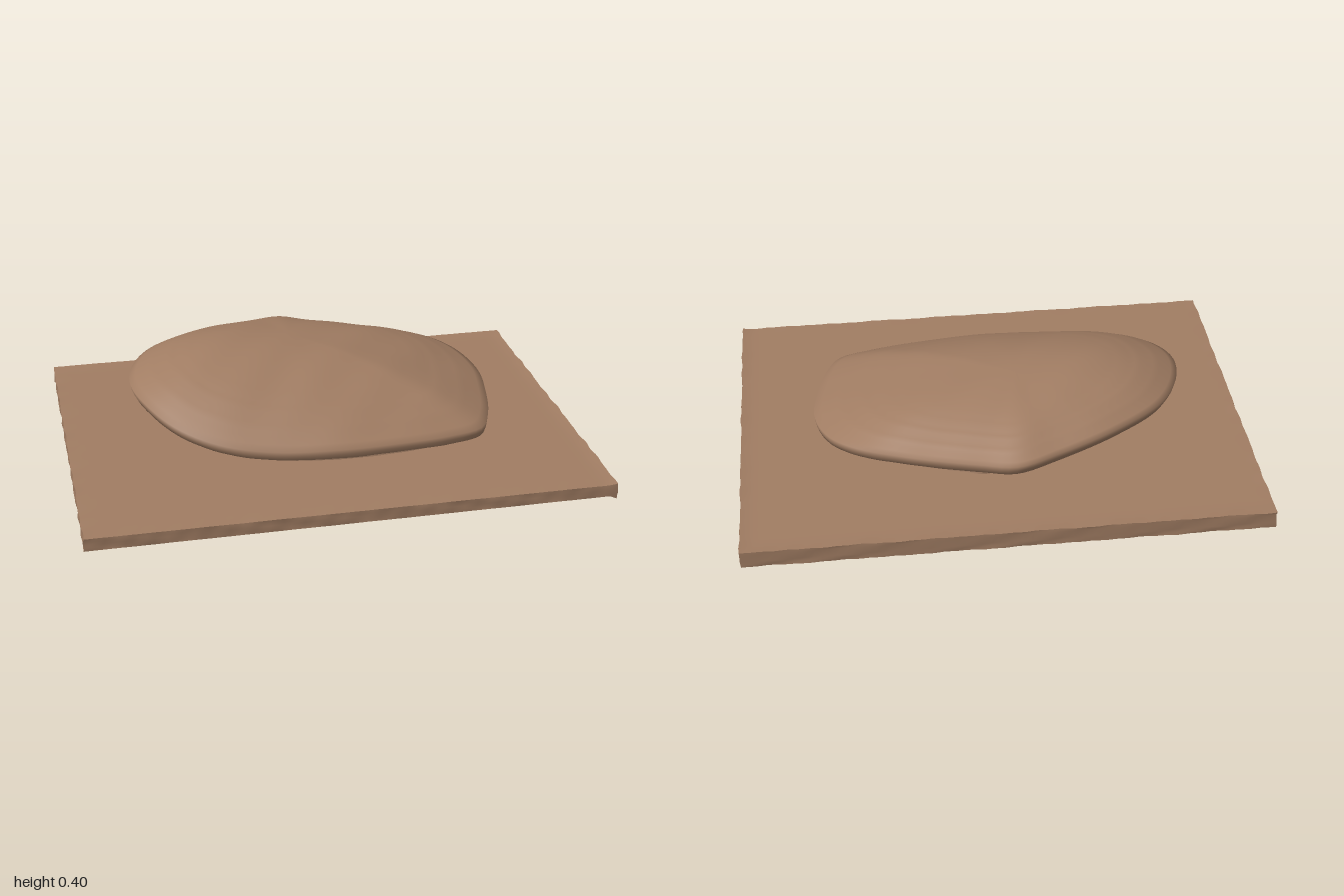
import * as THREE from 'three';

// Shell rim as [x, y, z], running clockwise seen from above
const RIM = [
  [0.70, 0.19, -0.10], [0.68, 0.175, 0.08], [0.64, 0.16, 0.24], [0.585, 0.15, 0.34],
  [0.45, 0.15, 0.385], [0.25, 0.155, 0.415], [0, 0.16, 0.43], [-0.25, 0.165, 0.405],
  [-0.45, 0.19, 0.35], [-0.60, 0.23, 0.25], [-0.70, 0.275, 0.10], [-0.735, 0.295, -0.03],
  [-0.71, 0.305, -0.18], [-0.62, 0.31, -0.33], [-0.42, 0.305, -0.47], [-0.20, 0.285, -0.56],
  [-0.04, 0.275, -0.61], [0.10, 0.265, -0.57], [0.35, 0.25, -0.48], [0.55, 0.235, -0.38],
  [0.65, 0.215, -0.27],
];
const SEGMENTS = 128;
const CENTRE = new THREE.Vector2(-0.08, -0.17);
const { lerp, smoothstep } = THREE.MathUtils;

// Soft, repeatable surface unevenness, about -1 to 1
const wobble = (x, z) =>
  (Math.sin(x * 9.1 + z * 5.3) + Math.sin(z * 13.7 - x * 6.2 + 1.3) + Math.sin(x * 23 + z * 19)) / 3;

// Joins closed rings of points, ordered from the top down
function loft(rings) {
  const n = rings[0].length;
  const index = [];
  for (let i = 0; i < rings.length - 1; i++) {
    for (let j = 0; j < n; j++) {
      const k = (j + 1) % n;
      const a = i * n + j, b = (i + 1) * n + j, c = (i + 1) * n + k, d = i * n + k;
      index.push(a, c, b, a, d, c);
    }
  }
  const geometry = new THREE.BufferGeometry().setFromPoints(rings.flat());
  geometry.setIndex(index);
  geometry.computeVertexNormals();
  return geometry;
}

// Point of the neck outline below a rim point, where it meets the underside
function neckPoint(p) {
  const x = p.x * 0.711 + 0.083;
  const z = p.z * 0.70 + 0.037;
  return new THREE.Vector3(x, 0.125 - 0.06 * x - 0.04 * z + 0.006 * wobble(x * 2, z * 2), z);
}

function shellGeometry(rim) {
  const rings = [];
  // Domed top with faint growth rings near the edge
  const topRings = 26;
  for (let i = 0; i <= topRings; i++) {
    const t = Math.max(0.002, i / topRings);
    rings.push(rim.map((p) => {
      const x = lerp(CENTRE.x, p.x, t);
      const z = lerp(CENTRE.y, p.z, t);
      const crest = 0.385 - 0.06 * x + 0.1 * x * x;
      const growth = 0.002 * Math.sin(t * 60) * smoothstep(t, 0.5, 0.9);
      const y = lerp(p.y, crest, 1 - t * t) + (growth + 0.004 * wobble(x, z)) * (1 - t ** 8);
      return new THREE.Vector3(x, y, z);
    }));
  }
  // Blunt lip, then the underside sloping in to the neck
  for (const s of [0.985, 0.95, 0.85, 0.7, 0.5, 0.3, 0.1, 0]) {
    rings.push(rim.map((p) => {
      const q = neckPoint(p);
      const drop = s > 0.97 ? 0.018 : 0.035;
      const x = lerp(q.x, p.x, s);
      const z = lerp(q.z, p.z, s);
      const bump = 0.008 * wobble(x * 1.8, z * 1.8) * Math.sin(Math.PI * s);
      return new THREE.Vector3(x, lerp(q.y, p.y - drop, s) + bump, z);
    }));
  }
  return loft(rings);
}

function neckGeometry(rim) {
  const rings = [0, 0.2, 0.4, 0.6, 0.8, 1].map((t) => rim.map((p) => {
    const q = neckPoint(p);
    // Pinched at mid height, flaring onto the slab
    const scale = 1 - 0.03 * Math.sin(Math.PI * t) + 0.012 * wobble(q.x * 2 + t, q.z * 2) * t;
    return new THREE.Vector3(
      lerp(0.07, q.x, scale), lerp(q.y, 0.045, t), lerp(-0.02, q.z, scale));
  }));
  return loft(rings);
}

function slabGeometry() {
  const geometry = new THREE.BoxGeometry(1.985, 0.05, 1.46, 80, 4, 60);
  const pos = geometry.attributes.position;
  for (let i = 0; i < pos.count; i++) {
    const x = pos.getX(i), y = pos.getY(i), z = pos.getZ(i);
    const edge = Math.max(smoothstep(Math.abs(x), 0.96, 0.99), smoothstep(Math.abs(z), 0.69, 0.73));
    const lip = Math.max(smoothstep(x, 0.96, 0.99), smoothstep(-z, 0.69, 0.73));
    const rough = edge * 0.004 * wobble(x * 3 + y * 20, z * 3);
    // Slightly sagging, with a raised and drooping lip on the left and back edges
    const height = y > 0
      ? 0.041 + y - 0.004 * x - 0.003 * z + 0.004 * lip
      : 0.041 + y - 0.003 * x - 0.013 * lip;
    pos.setXYZ(i,
      x + Math.sign(x) * edge * 0.003 + rough * Math.abs(x),
      Math.max(0, height + rough * 0.4),
      z + (z > 0 ? 0.004 * x : -0.008 + 0.003 * x) * edge + rough * 0.5);
  }
  geometry.computeVertexNormals();
  return geometry;
}

export function createModel() {
  const clay = new THREE.MeshStandardMaterial({ color: 0xa17d63 });
  clay.name = 'brown clay';

  const curve = new THREE.CatmullRomCurve3(RIM.map((p) => new THREE.Vector3(...p)), true);
  const rim = curve.getSpacedPoints(SEGMENTS).slice(0, SEGMENTS);

  const model = new THREE.Group();
  model.name = 'shellOnSlab';
  const parts = { slab: slabGeometry(), neck: neckGeometry(rim), shell: shellGeometry(rim) };
  for (const [name, geometry] of Object.entries(parts)) {
    const mesh = new THREE.Mesh(geometry, clay);
    mesh.name = name;
    model.add(mesh);
  }
  return model;
}
